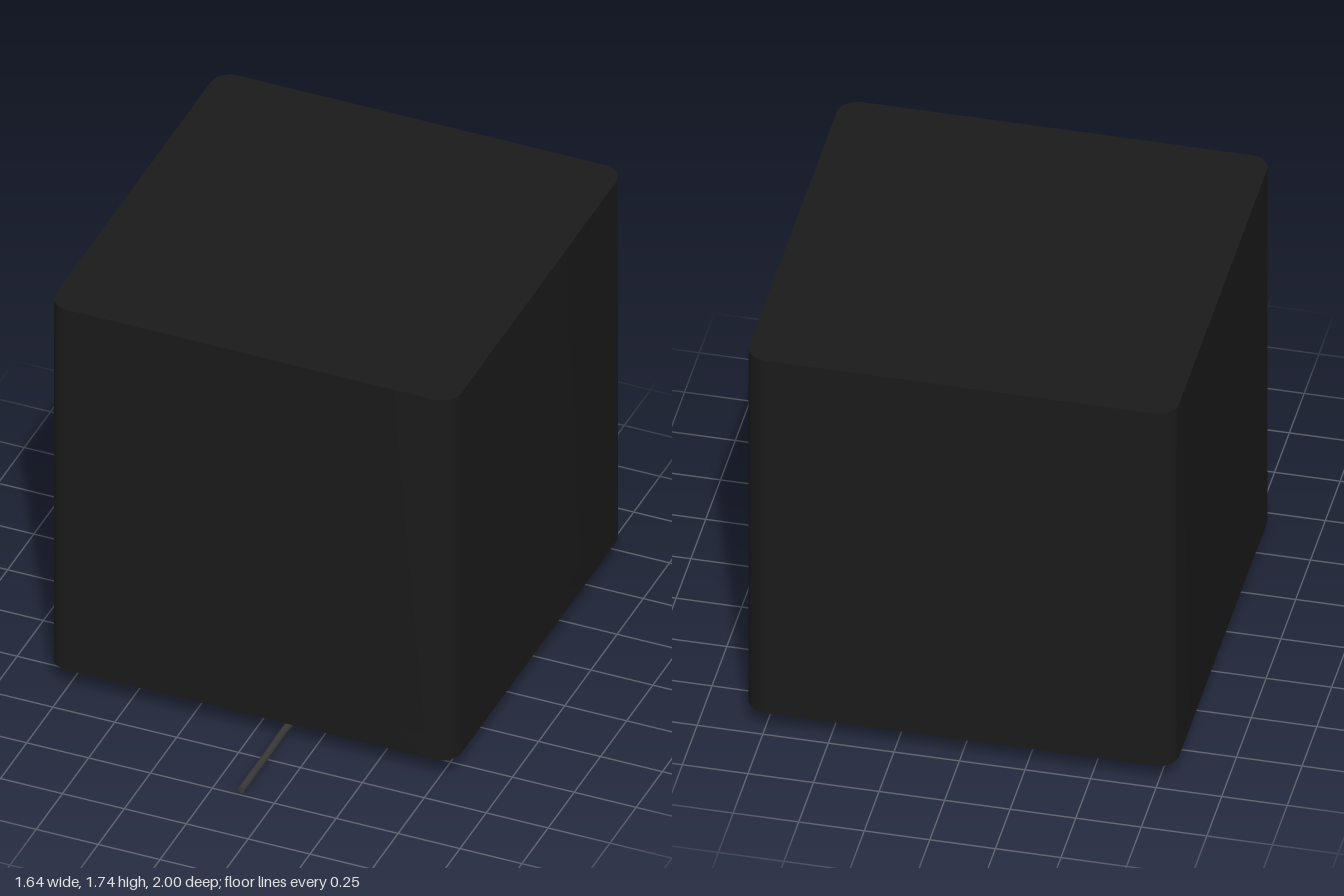
import * as THREE from 'three';
import { toCreasedNormals } from 'three/addons/utils/BufferGeometryUtils.js';

const dark = new THREE.MeshStandardMaterial({ color: 0x1a1a1a });
const darkDouble = new THREE.MeshStandardMaterial({ color: 0x1a1a1a, side: THREE.DoubleSide });
const cableGrey = new THREE.MeshStandardMaterial({ color: 0x383838 });

function roundedSquare(half, r) {
  const s = new THREE.Shape(), c = half - r;
  s.absarc(c, c, r, 0, Math.PI / 2);
  s.absarc(-c, c, r, Math.PI / 2, Math.PI);
  s.absarc(-c, -c, r, Math.PI, Math.PI * 1.5);
  s.absarc(c, -c, r, Math.PI * 1.5, Math.PI * 2);
  s.closePath();
  return s;
}

// D-shaped cable bay: a circle cut by a straight wall towards the back
function withBay(shape) {
  const bay = new THREE.Path();
  bay.absarc(0, 0, 0.46, Math.PI - 0.45, Math.PI * 2 + 0.45);
  bay.closePath();
  shape.holes.push(bay);
  return shape;
}

// Extrudes a plan shape upwards from y0 to y1
function slab(name, shape, y0, y1) {
  const g = new THREE.ExtrudeGeometry(shape, { depth: y1 - y0, bevelEnabled: false, curveSegments: 24 });
  g.rotateX(-Math.PI / 2).translate(0, y0, 0);
  const mesh = new THREE.Mesh(toCreasedNormals(g, 0.5), dark);
  mesh.name = name;
  return mesh;
}

export function createModel() {
  const model = new THREE.Group();
  model.name = 'cubeOnRoundFoot';

  const cube = new THREE.Group();
  cube.name = 'cube';
  cube.position.z = -0.18;
  model.add(cube);

  // Cube housing, with the bay hollowed out of its lower layer
  cube.add(slab('housing', roundedSquare(0.82, 0.08), 0.21, 1.74));
  cube.add(slab('housingLower', withBay(roundedSquare(0.82, 0.08)), 0.1, 0.21));
  cube.add(slab('bottomPanel', withBay(roundedSquare(0.79, 0.06)), 0.09, 0.1));

  // Round collar above the foot
  const disc = new THREE.Shape();
  disc.absarc(0, 0, 0.675, 0, Math.PI * 2);
  cube.add(slab('footCollar', withBay(disc), 0.075, 0.09));

  // Foot ring with chamfered edge, open at the front for the cable
  const profile = [[0.58, 0], [0.6, 0], [0.675, 0.02], [0.675, 0.075], [0.57, 0.075], [0.57, 0.008], [0.58, 0]]
    .map(([r, y]) => new THREE.Vector2(r, y));
  const gap = 0.365;
  const ring = new THREE.LatheGeometry(profile, 80, gap, Math.PI * 2 - gap * 2);
  const foot = new THREE.Mesh(toCreasedNormals(ring, 0.2), dark);
  foot.name = 'footRing';
  cube.add(foot);
  for (const phi of [gap, -gap]) {
    const end = new THREE.Mesh(new THREE.ShapeGeometry(new THREE.Shape(profile)), darkDouble);
    end.name = 'footRingEnd';
    end.rotation.y = phi - Math.PI / 2;
    cube.add(end);
  }

  // Power cable from the bay's back wall out through the gap
  const path = new THREE.CatmullRomCurve3([
    [0.37, 0.13, -0.38], [0.36, 0.12, -0.27], [0.26, 0.07, 0.13], [0.15, 0.035, 0.33],
    [0.115, 0.022, 0.54], [0.115, 0.022, 0.75], [0.115, 0.022, 1],
  ].map((p) => new THREE.Vector3(...p)));
  const cable = new THREE.Mesh(new THREE.TubeGeometry(path, 60, 0.014, 12), cableGrey);
  cable.name = 'cable';
  model.add(cable);

  const tip = new THREE.Mesh(new THREE.CircleGeometry(0.014, 12), cableGrey);
  tip.name = 'cableTip';
  tip.position.set(0.115, 0.022, 1);
  model.add(tip);

  return model;
}
